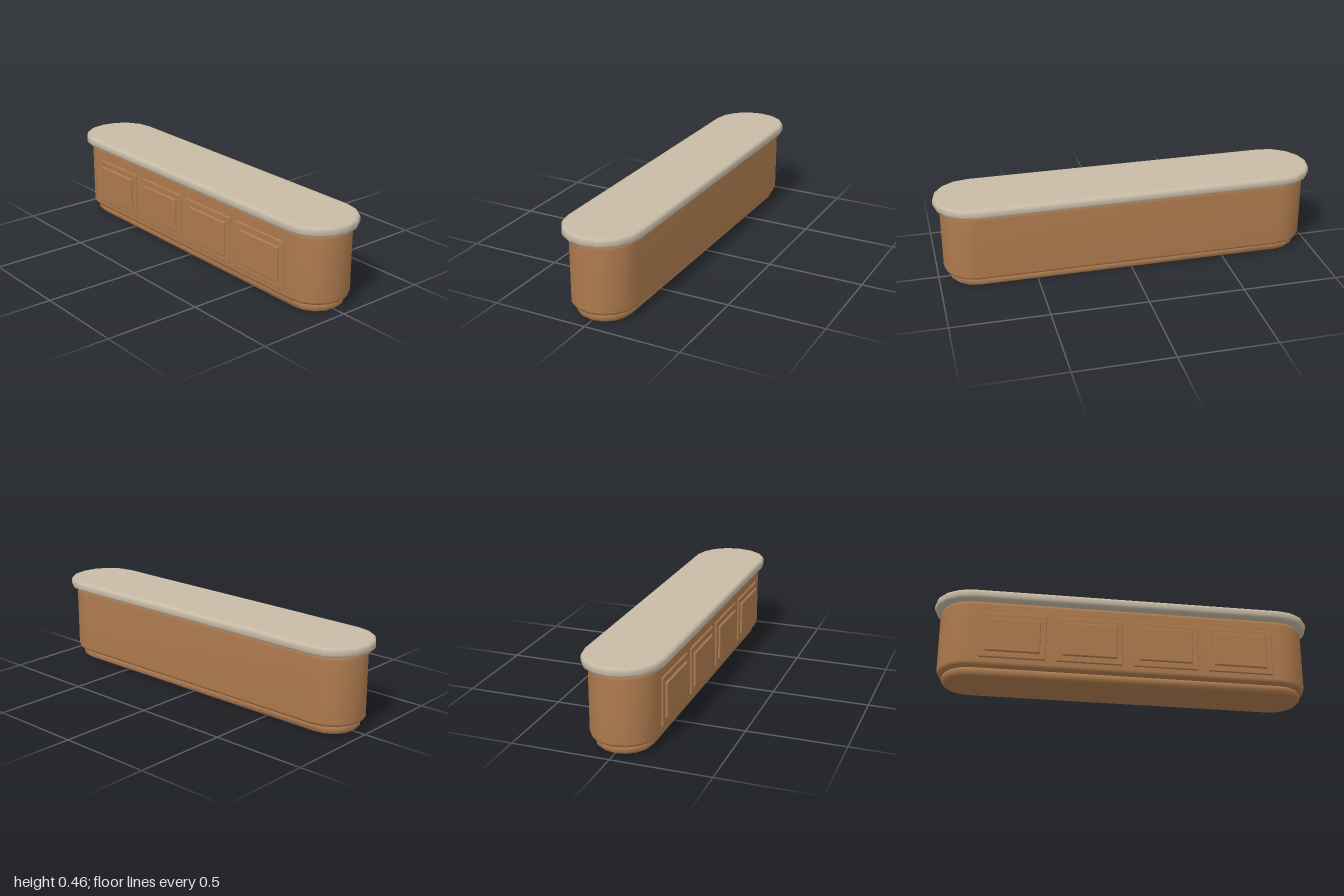
import * as THREE from 'three';
import { RoundedBoxGeometry } from 'three/addons/geometries/RoundedBoxGeometry.js';

const HALF_SPAN = 0.8; // straight part shared by every tier
const ARC = 8; // segments per rounded end

// Solid with a stadium outline; profile is a list of [radius, y] from bottom to top.
function stadium(profile) {
  const pos = [], index = [], n = 2 * (ARC + 1);
  for (const [r, y] of profile) {
    for (const side of [1, -1]) {
      for (let i = 0; i <= ARC; i++) {
        const a = -Math.PI / 2 + (Math.PI * i) / ARC;
        pos.push(side * (HALF_SPAN + r * Math.cos(a)), y, side * r * Math.sin(a));
      }
    }
  }
  // Walls
  for (let k = 0; k < profile.length - 1; k++) {
    for (let i = 0; i < n; i++) {
      const a = k * n + i, b = k * n + ((i + 1) % n);
      index.push(a, a + n, b, b, a + n, b + n);
    }
  }
  // Caps, as strips running between the two ends
  const top = (profile.length - 1) * n;
  for (let j = 0; j < ARC; j++) {
    const l = n - 1 - j;
    index.push(top + j, top + l, top + j + 1, top + j + 1, top + l, top + l - 1);
    index.push(j, j + 1, l, j + 1, l - 1, l);
  }
  const g = new THREE.BufferGeometry();
  g.setAttribute('position', new THREE.Float32BufferAttribute(pos, 3));
  g.setIndex(index);
  g.computeVertexNormals();
  return g;
}

export function createModel() {
  const wood = new THREE.MeshStandardMaterial({ color: 0xad7a4e });
  wood.name = 'wood';
  const stone = new THREE.MeshStandardMaterial({ color: 0xc8bba6 });
  stone.name = 'stone';

  const model = new THREE.Group();
  model.name = 'counter';
  const add = (name, geometry, material, parent = model) => {
    const mesh = new THREE.Mesh(geometry, material);
    mesh.name = name;
    parent.add(mesh);
    return mesh;
  };

  // Plinth, cabinet body and worktop
  add('plinth', stadium([[0.13, 0], [0.143, 0.013], [0.143, 0.034], [0.135, 0.043]]), wood);
  add('body', stadium([
    [0.142, 0.042], [0.161, 0.049], [0.169, 0.065],
    [0.169, 0.382], [0.162, 0.4], [0.145, 0.406],
  ]), wood);
  add('worktop', stadium([
    [0.184, 0.405], [0.196, 0.409], [0.201, 0.421],
    [0.201, 0.439], [0.196, 0.451], [0.184, 0.455],
  ]), stone);

  // Four raised panels on the front
  for (let i = 0; i < 4; i++) {
    const panel = new THREE.Group();
    panel.name = 'frontPanel' + (i + 1);
    panel.position.x = -0.595 + i * 0.395;
    model.add(panel);
    add('panelFrame', new RoundedBoxGeometry(0.342, 0.25, 0.02, 2, 0.006), wood, panel)
      .position.set(0, 0.211, 0.167);
    add('panelField', new RoundedBoxGeometry(0.28, 0.184, 0.02, 2, 0.006), wood, panel)
      .position.set(0, 0.211, 0.178);
  }
  return model;
}
